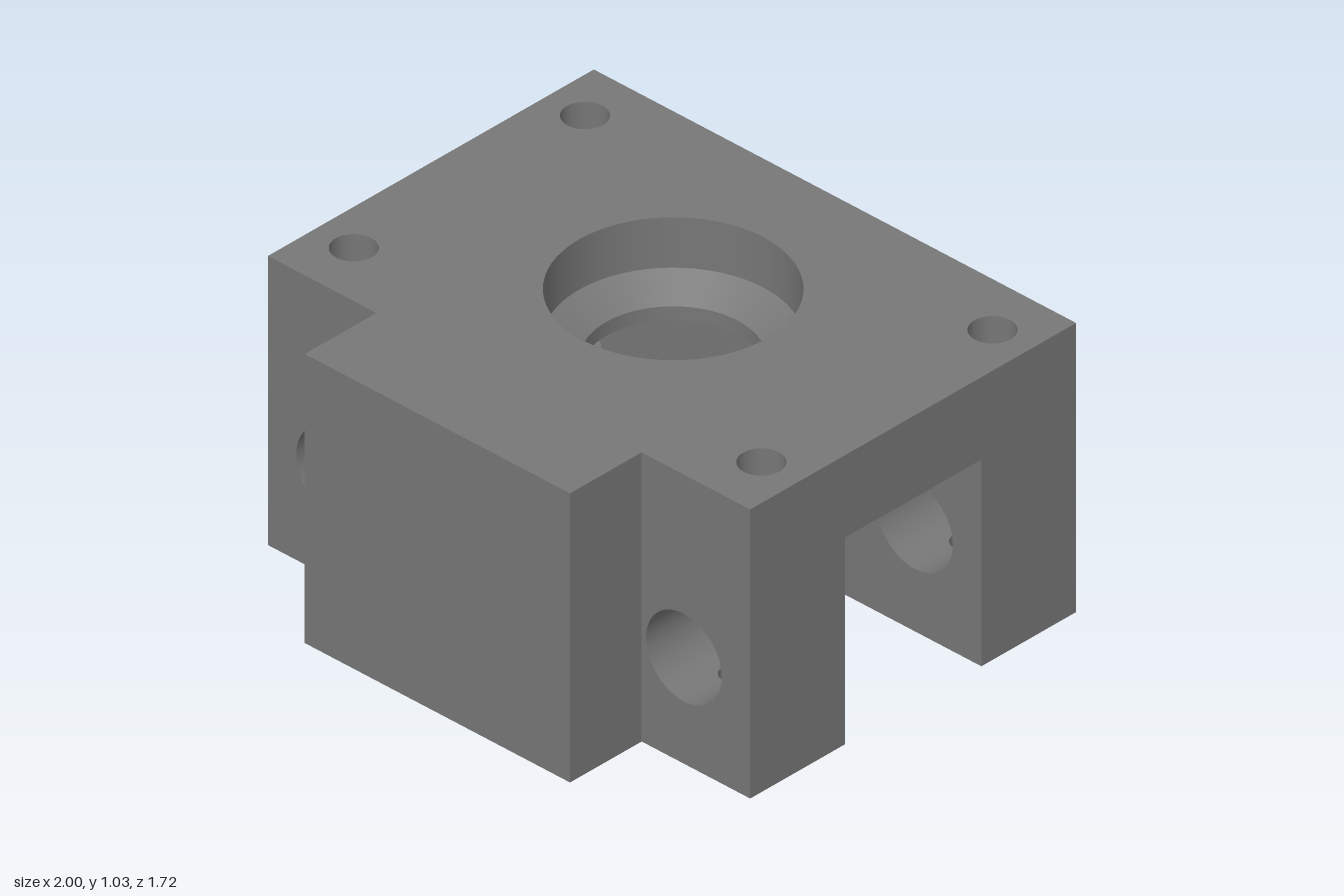
import * as THREE from 'three';
import { ParametricGeometry } from 'three/addons/geometries/ParametricGeometry.js';

const TOP = 1.035, CEIL = 0.74;               // block height, slot ceiling
const BACK = -0.86, SLOT0 = -0.45, SLOT1 = 0.14, FRONT = 0.55, BOSS = 0.86;
const BW = 0.55;                              // boss half width
const BORE = { x: 0.725, y: 0.38, r: 0.157 }; // cross bores along z
const PIN_R = 0.04;                           // small holes from below into the bores
const LEGS = [0.345, -0.655], LEG_HALF = 0.205;
const SCREW = { x: 0.845, z: [0.34, -0.66], r: 0.075, depth: 0.35 };
const CENTER_Z = -0.16, R1 = 0.39, R2 = 0.278;
const SEG = 64;

export function createModel() {
  const root = new THREE.Group();
  root.name = 'bearingBlock';
  const grey = new THREE.MeshStandardMaterial({ color: 0x777777, side: THREE.DoubleSide });
  grey.name = 'machined grey';

  const add = (name, geo) => {
    const mesh = new THREE.Mesh(geo, grey);
    mesh.name = name;
    root.add(mesh);
    return mesh;
  };

  // Flat face; points are (x,z) for up/down, (x,y) for front/back, (z,y) for left/right
  const DIRS = {
    up: [1, -1, 'rotateX', -Math.PI / 2, [0, 1, 0]],
    down: [1, 1, 'rotateX', Math.PI / 2, [0, 1, 0]],
    front: [1, 1, 'rotateY', 0, [0, 0, 1]],
    back: [-1, 1, 'rotateY', Math.PI, [0, 0, 1]],
    left: [-1, 1, 'rotateY', Math.PI / 2, [1, 0, 0]],
    right: [1, 1, 'rotateY', -Math.PI / 2, [1, 0, 0]],
  };
  const face = (name, dir, at, pts, holes = []) => {
    const [sx, sy, turn, angle, axis] = DIRS[dir];
    const shape = new THREE.Shape(pts.map(([a, b]) => new THREE.Vector2(a * sx, b * sy)));
    for (const [a, b, r] of holes) {
      shape.holes.push(new THREE.Path().absarc(a * sx, b * sy, r, 0, Math.PI * 2, true));
    }
    const geo = new THREE.ShapeGeometry(shape, SEG)[turn](angle);
    add(name, geo.translate(...axis.map(v => v * at)));
  };
  const rect = (a0, b0, a1, b1) => [[a0, b0], [a1, b0], [a1, b1], [a0, b1]];

  // Inward-facing upright hole wall
  const wall = (name, rTop, rBottom, y0, y1, x, z) => {
    const geo = new THREE.CylinderGeometry(rTop, rBottom, y1 - y0, SEG, 1, true);
    geo.translate(x, (y0 + y1) / 2, z);
    add(name, geo);
  };

  const bores = [-1, 1].map(s => [s * BORE.x, BORE.y, BORE.r]);
  const pins = z => [-1, 1].map(s => [s * BORE.x, z, PIN_R]);
  const screws = SCREW.z.flatMap(z => [-1, 1].map(s => [s * SCREW.x, z, SCREW.r]));

  // T outline of the block from a given back edge
  const tee = z0 => [[-1, z0], [1, z0], [1, FRONT], [BW, FRONT], [BW, BOSS],
    [-BW, BOSS], [-BW, FRONT], [-1, FRONT]];

  // Top, undersides and slot
  face('topFace', 'up', TOP, tee(BACK), [...screws, [0, CENTER_Z, R1]]);
  face('frontLegUnderside', 'down', 0, tee(SLOT1), pins(LEGS[0]));
  face('backLegUnderside', 'down', 0, rect(-1, BACK, 1, SLOT0), pins(LEGS[1]));
  face('slotCeiling', 'down', CEIL, rect(-1, SLOT0, 1, SLOT1), [[0, CENTER_Z, R2]]);
  face('slotFrontWall', 'back', SLOT1, rect(-1, 0, 1, CEIL), bores);
  face('slotBackWall', 'front', SLOT0, rect(-1, 0, 1, CEIL), bores);

  // Outer walls
  face('backFace', 'back', BACK, rect(-1, 0, 1, TOP), bores);
  face('bossFront', 'front', BOSS, rect(-BW, 0, BW, TOP));
  const arch = [[BACK, 0], [SLOT0, 0], [SLOT0, CEIL], [SLOT1, CEIL], [SLOT1, 0],
    [FRONT, 0], [FRONT, TOP], [BACK, TOP]];
  [['left', 1], ['right', -1]].forEach(([side, s], i) => {
    face(side + 'Side', side, s, arch);
    face(side + 'BossSide', side, s * BW, rect(FRONT, 0, BOSS, TOP));
    face(side + 'Shoulder', 'front', FRONT, rect(s * BW, 0, s, TOP), [bores[1 - i]]);
  });

  // Central stepped bore with conical seat
  wall('counterbore', R1, R1, 0.855, TOP, 0, CENTER_Z);
  wall('counterboreSeat', R1, R2, 0.79, 0.855, 0, CENTER_Z);
  wall('centralHole', R2, R2, CEIL, 0.79, 0, CENTER_Z);

  // Blind screw holes in the top corners
  for (const [x, z, r] of screws) {
    wall('screwHole', r, r, TOP - SCREW.depth, TOP, x, z);
    const floor = new THREE.CircleGeometry(r, SEG).rotateX(-Math.PI / 2);
    add('screwHoleFloor', floor.translate(x, TOP - SCREW.depth, z));
  }

  // Cross bores: main wall, floor strip pierced by the pin hole, pin hole wall
  const stripHalf = 0.08;
  const a0 = Math.asin(stripHalf / BORE.r);
  const floorY = x => BORE.y - Math.sqrt(BORE.r ** 2 - x * x);
  const mix = THREE.MathUtils.lerp;
  for (const cz of LEGS) {
    for (const s of [-1, 1]) {
      const cx = s * BORE.x;
      add('crossBore', new ParametricGeometry((u, v, p) => {
        const a = mix(a0, Math.PI * 2 - a0, u);
        p.set(cx + BORE.r * Math.sin(a), BORE.y - BORE.r * Math.cos(a), cz + mix(-LEG_HALF, LEG_HALF, v));
      }, 56, 1));
      add('crossBoreFloor', new ParametricGeometry((u, v, p) => {
        const c = Math.cos(u * Math.PI * 2), d = Math.sin(u * Math.PI * 2);
        const k = 1 / Math.max(Math.abs(c), Math.abs(d));
        const x = mix(PIN_R * c, stripHalf * k * c, v);
        p.set(cx + x, floorY(x), cz + mix(PIN_R * d, LEG_HALF * k * d, v));
      }, SEG, 6));
      add('pinHole', new ParametricGeometry((u, v, p) => {
        const x = PIN_R * Math.cos(u * Math.PI * 2);
        p.set(cx + x, v * floorY(x), cz + PIN_R * Math.sin(u * Math.PI * 2));
      }, SEG, 1));
    }
  }
  return root;
}
